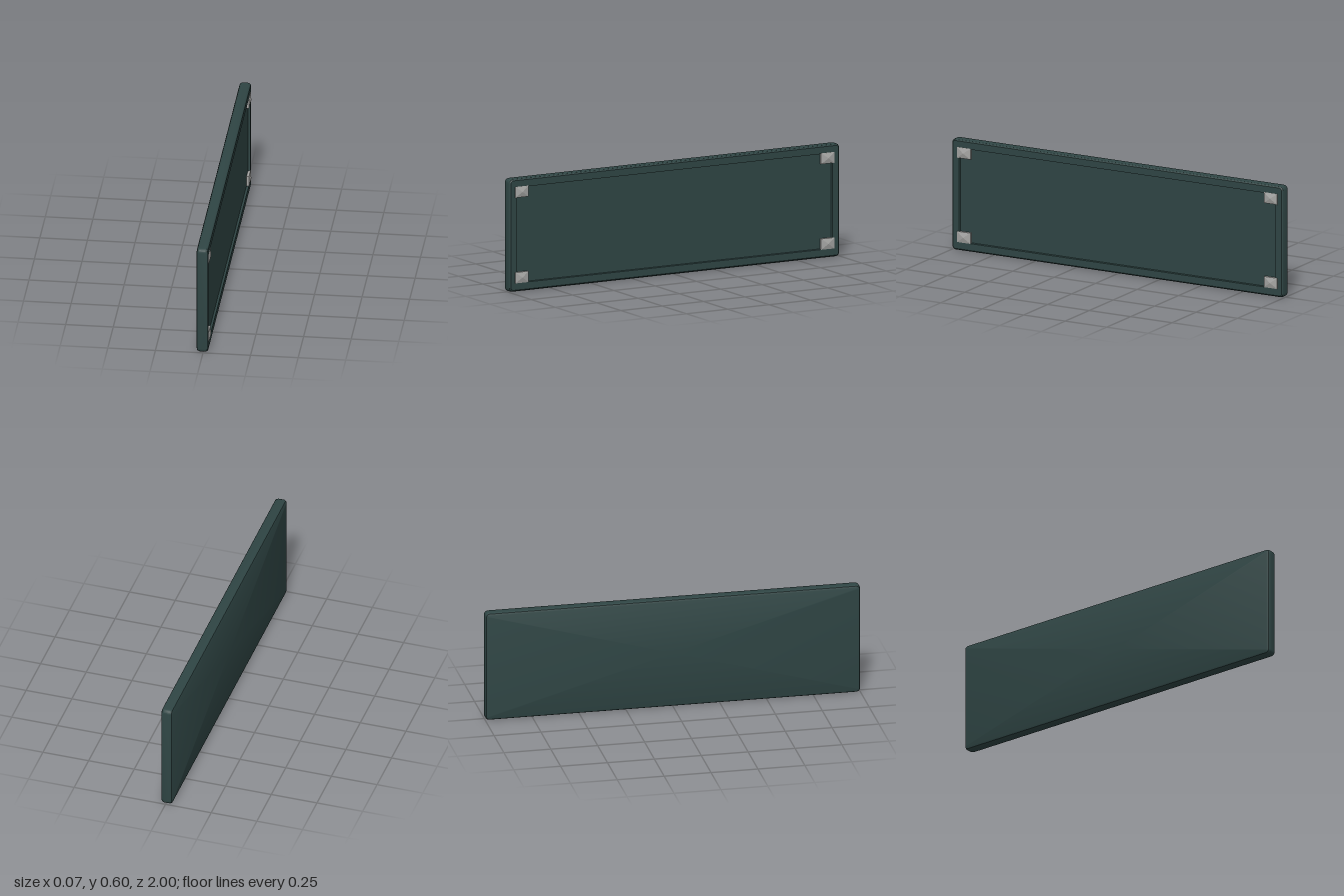
import * as THREE from 'three';
import { toCreasedNormals } from 'three/addons/utils/BufferGeometryUtils.js';

const HALF_LENGTH = 1, HALF_HEIGHT = 0.3, CORNER_STEPS = 4;

// Rounded rectangle in the plane x, inset from the outer edge
function ring(inset, x, radius) {
  const points = [];
  const cy = HALF_HEIGHT - inset - radius, cz = HALF_LENGTH - inset - radius;
  [[1, 1], [-1, 1], [-1, -1], [1, -1]].forEach(([sy, sz], k) => {
    for (let i = 0; i <= CORNER_STEPS; i++) {
      const a = (k + i / CORNER_STEPS) * Math.PI / 2;
      points.push([x, HALF_HEIGHT + sy * cy + radius * Math.cos(a), sz * cz + radius * Math.sin(a)]);
    }
  });
  return points;
}

// Joins the rings from back to front and closes both ends
function loft(rings) {
  const n = rings[0].length, positions = [], index = [];
  rings.forEach(r => r.forEach(p => positions.push(...p)));
  for (let i = 0; i < rings.length - 1; i++) {
    for (let j = 0; j < n; j++) {
      const a = i * n + j, b = i * n + (j + 1) % n;
      index.push(a, b, b + n, a, b + n, a + n);
    }
  }
  const last = (rings.length - 1) * n, back = rings.length * n, front = back + 1;
  positions.push(rings[0][0][0], HALF_HEIGHT, 0, rings.at(-1)[0][0], HALF_HEIGHT, 0);
  for (let j = 0; j < n; j++) {
    const k = (j + 1) % n;
    index.push(back, k, j, front, last + j, last + k);
  }
  const geometry = new THREE.BufferGeometry();
  geometry.setAttribute('position', new THREE.Float32BufferAttribute(positions, 3));
  geometry.setIndex(index);
  return toCreasedNormals(geometry, 0.5);
}

export function createModel() {
  const model = new THREE.Group();
  model.name = 'wallPanel';
  const darkTeal = new THREE.MeshStandardMaterial({ name: 'darkTeal', color: 0x2f4544 });
  const greyMetal = new THREE.MeshStandardMaterial({ name: 'greyMetal', color: 0xa6a6a4 });

  // Slab with bevelled rim and a recessed face: inset, x, corner radius
  const profile = [
    [0.015, -0.035, 0.012], [0.005, -0.031, 0.018], [0, -0.021, 0.022],
    [0, 0.011, 0.022], [0.003, 0.02, 0.02], [0.009, 0.025, 0.015],
    [0.046, 0.025, 0.002], [0.048, 0.013, 0.002],
  ];
  const slab = new THREE.Mesh(loft(profile.map(p => ring(...p))), darkTeal);
  slab.name = 'slab';
  model.add(slab);

  // Corner studs: a square base with a low pyramid on top
  const width = 0.08, height = 0.058;
  const baseGeometry = new THREE.BoxGeometry(0.016, height, width);
  const capGeometry = new THREE.CylinderGeometry(0, Math.SQRT1_2, 0.008, 4, 1, true)
    .rotateY(Math.PI / 4).rotateZ(-Math.PI / 2).scale(1, height, width).toNonIndexed();
  capGeometry.computeVertexNormals();
  for (const y of [0.074, 0.529]) {
    for (const z of [-0.925, 0.925]) {
      const stud = new THREE.Group();
      stud.name = 'cornerStud';
      const base = new THREE.Mesh(baseGeometry, greyMetal);
      base.name = 'studBase';
      base.position.x = 0.018;
      const cap = new THREE.Mesh(capGeometry, greyMetal);
      cap.name = 'studCap';
      cap.position.x = 0.03;
      stud.add(base, cap);
      stud.position.set(0, y, z);
      model.add(stud);
    }
  }
  return model;
}
